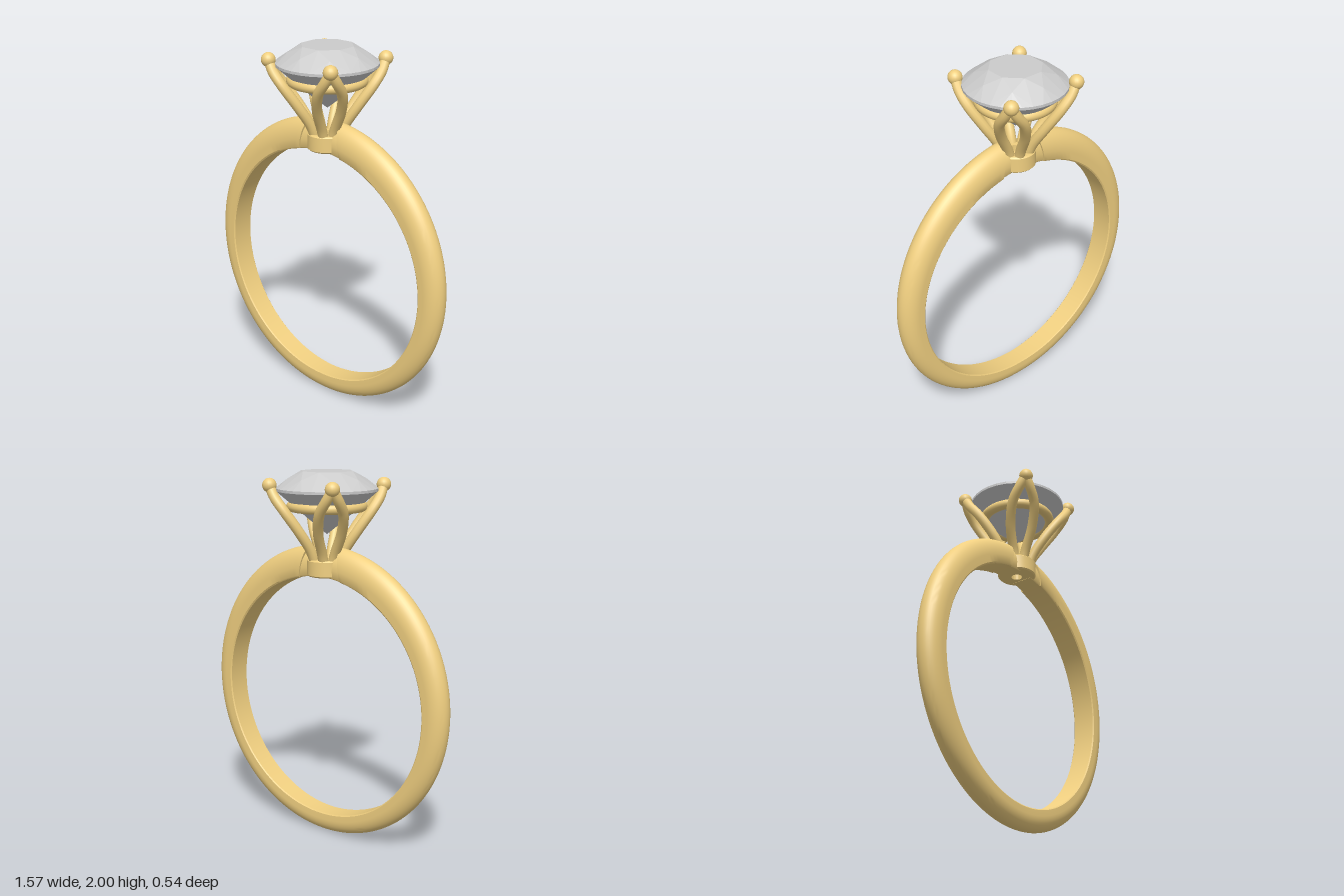
import * as THREE from 'three';
import { toCreasedNormals } from 'three/addons/utils/BufferGeometryUtils.js';
import { ConvexGeometry } from 'three/addons/geometries/ConvexGeometry.js';

const gold = new THREE.MeshStandardMaterial({ color: 0xf0cf80 });
const stone = new THREE.MeshStandardMaterial({ color: 0xcccccc, flatShading: true });

const INNER_R = 0.665, CENTRE_Y = 0.785;

function add(parent, name, geometry, material = gold) {
  const mesh = new THREE.Mesh(geometry, material);
  mesh.name = name;
  parent.add(mesh);
  return mesh;
}

// D-shaped section: u across the finger, v outward; flat inside, domed outside
function bandSection() {
  const pts = [[-0.9, 0], [0.9, 0], [0.98, 0.05]];
  const n = 20;
  for (let i = 0; i <= n; i++) {
    const a = (i / n) * Math.PI;
    pts.push([Math.cos(a), 0.32 + 0.68 * Math.sin(a)]);
  }
  pts.push([-0.98, 0.05]);
  return pts;
}

// Sweeps the section round the finger; angles are measured from the top.
// start and end give the angle at height v, so the end faces can slant.
function bandGeometry(start, end, steps, scale) {
  const section = bandSection(), m = section.length;
  const pos = [], index = [];
  const put = (u, v, s) => {
    const a = THREE.MathUtils.lerp(start(v), end(v), s);
    const top = (1 + Math.cos(a)) / 2;
    const r = INNER_R + (0.115 + 0.048 * top ** 3) * v * scale;
    const half = (0.057 + 0.015 * Math.sqrt(top)) * scale;
    pos.push(Math.sin(a) * r, CENTRE_Y + Math.cos(a) * r, u * half);
  };
  for (let i = 0; i <= steps; i++) for (const [u, v] of section) put(u, v, i / steps);
  put(0, 0.5, 0);
  put(0, 0.5, 1);
  const c0 = (steps + 1) * m, c1 = c0 + 1, last = steps * m;
  for (let j = 0; j < m; j++) {
    const k = (j + 1) % m;
    for (let i = 0; i < steps; i++) {
      const a = i * m + j, b = i * m + k;
      index.push(a, a + m, b, b, a + m, b + m);
    }
    index.push(c0, j, k, c1, last + k, last + j);
  }
  const g = new THREE.BufferGeometry();
  g.setAttribute('position', new THREE.Float32BufferAttribute(pos, 3));
  g.setIndex(index);
  return toCreasedNormals(g, 0.6);
}

// Round brilliant: table, crown, girdle, pavilion and culet
function gemGeometry() {
  const pts = [];
  const ring = (n, r, y, turn = 0) => {
    for (let i = 0; i < n; i++) {
      const a = ((i + turn) / n) * Math.PI * 2;
      pts.push(new THREE.Vector3(Math.sin(a) * r, y, Math.cos(a) * r));
    }
  };
  ring(8, 0.14, 2.0, 0.5);
  ring(8, 0.205, 1.962);
  ring(32, 0.268, 1.912);
  ring(32, 0.268, 1.898);
  ring(8, 0.08, 1.733, 0.5);
  pts.push(new THREE.Vector3(0, 1.67, 0));
  return new ConvexGeometry(pts);
}

export function createModel() {
  const model = new THREE.Group();
  model.name = 'ring';

  // Band, open at the top with slanted shoulders
  const shoulder = v => 0.212 - 0.09 * v;
  add(model, 'band', bandGeometry(shoulder, v => Math.PI * 2 - shoulder(v), 128, 1));

  // Narrower tongues joining the band to the collar
  add(model, 'tongueLeft', bandGeometry(() => 0.07, () => 0.23, 6, 0.88));
  add(model, 'tongueRight', bandGeometry(() => -0.23, () => -0.07, 6, 0.88));

  // Setting
  const head = new THREE.Group();
  head.name = 'head';
  model.add(head);

  const collarProfile = [
    [0.03, 1.45], [0.098, 1.45], [0.105, 1.457], [0.105, 1.533],
    [0.098, 1.54], [0.03, 1.54], [0.03, 1.45],
  ].map(([x, y]) => new THREE.Vector2(x, y));
  add(head, 'collar', toCreasedNormals(new THREE.LatheGeometry(collarProfile, 48), 0.6));

  const gallery = add(head, 'galleryRing', new THREE.TorusGeometry(0.185, 0.027, 16, 64));
  gallery.rotation.x = Math.PI / 2;
  gallery.position.y = 1.818;

  // Four split claws: two mirrored strands meeting under a rounded tip
  const strand = [
    [0.055, 1.5, 0.028], [0.085, 1.58, 0.036], [0.15, 1.69, 0.065],
    [0.205, 1.8, 0.12], [0.217, 1.87, 0.175], [0.21, 1.93, 0.213],
  ];
  for (const sx of [1, -1]) for (const sz of [1, -1]) {
    const claw = new THREE.Group();
    claw.name = `claw${sz > 0 ? 'Front' : 'Back'}${sx > 0 ? 'Left' : 'Right'}`;
    head.add(claw);
    for (const swap of [false, true]) {
      const path = strand.map(([a, y, b]) =>
        new THREE.Vector3(sx * (swap ? b : a), y, sz * (swap ? a : b)));
      add(claw, 'strand', new THREE.TubeGeometry(new THREE.CatmullRomCurve3(path), 32, 0.027, 12));
    }
    const tip = add(claw, 'tip', new THREE.SphereGeometry(0.038, 20, 14));
    tip.position.set(sx * 0.21, 1.928, sz * 0.214);
  }

  add(model, 'gem', gemGeometry(), stone);
  return model;
}
